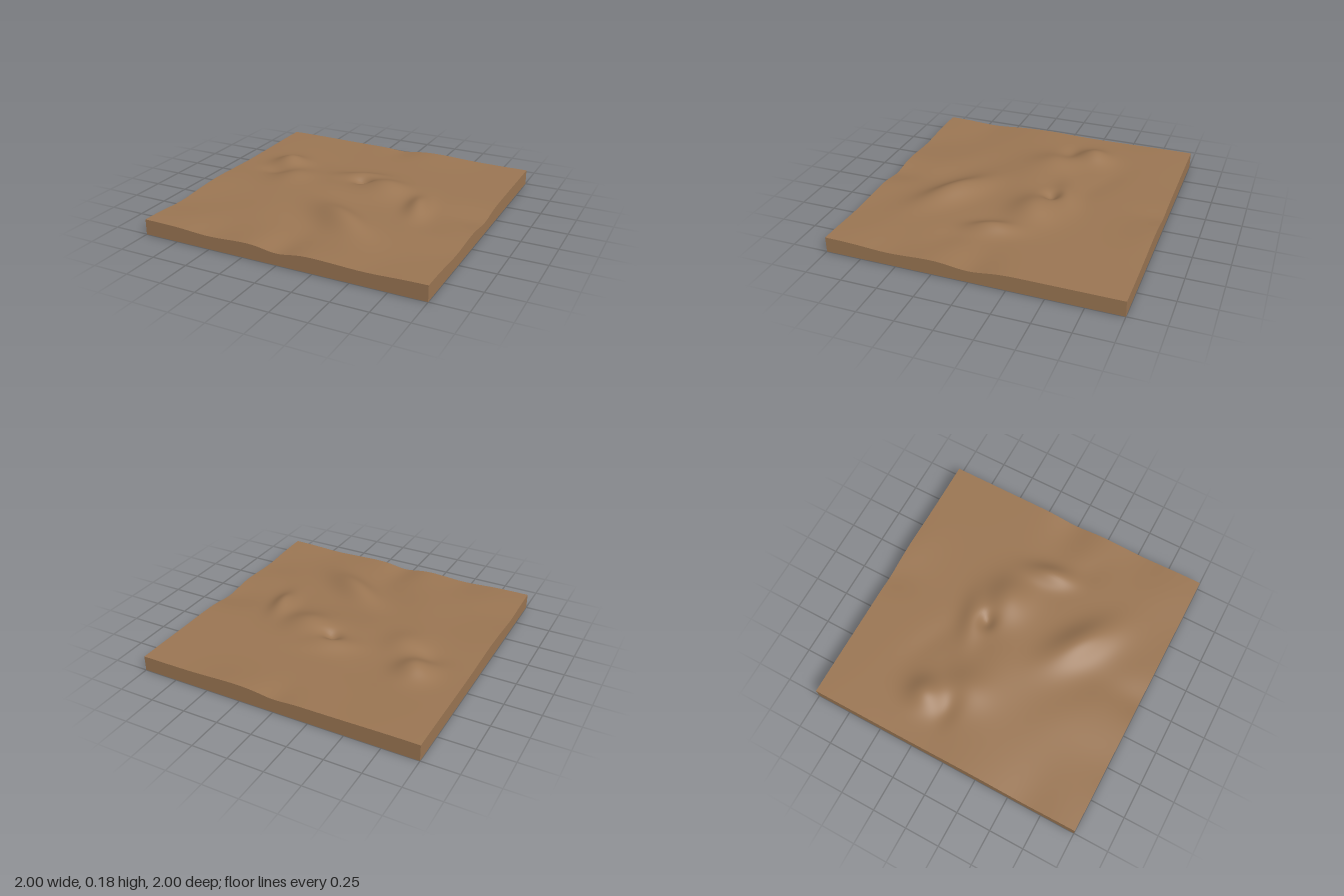
import * as THREE from 'three';

const N = 128; // grid cells per side

// Landforms: [x, z, length, width, turn, height]
const landforms = [
  [-0.66, -0.33, 0.085, 0.085, 0, 0.064],  // round knoll
  [-0.68, -0.14, 0.08, 0.05, 0, -0.018],   // hollow below the knoll
  [-0.49, -0.09, 0.1, 0.11, 0, 0.034],     // plateau edge
  [-0.24, 0.02, 0.24, 0.17, 0, 0.028],     // plateau
  [-0.03, -0.31, 0.13, 0.06, 0.3, 0.034],  // ridge behind the pit
  [0.01, -0.21, 0.045, 0.04, 0, -0.04],    // pit
  [0.22, -0.16, 0.13, 0.11, 0, 0.066],     // main dome
  [0.17, 0.45, 0.19, 0.085, -0.6, 0.07],   // diagonal crest
  [0.0, 0.62, 0.26, 0.1, -0.6, -0.014],    // valley beside the crest
  [0.54, 0.03, 0.12, 0.055, -1.35, 0.052], // narrow rise
  [0.66, 0.24, 0.15, 0.08, -0.5, -0.01],
  [-0.3, -0.48, 0.2, 0.07, -0.4, -0.008],
  [-0.35, 0.5, 0.2, 0.15, 0, 0.008],
  [0.0, 1.0, 0.09, 0.2, 0, -0.026],        // dips and swells along the rim
  [-0.5, 1.0, 0.14, 0.2, 0, -0.016],
  [0.6, 1.0, 0.16, 0.2, 0, -0.012],
  [1.0, 0.0, 0.2, 0.11, 0, -0.026],
  [1.0, 0.55, 0.2, 0.15, 0, -0.017],
  [0.28, -1.0, 0.17, 0.14, -0.2, 0.014],
  [0.0, -1.0, 0.08, 0.12, 0, -0.012],
  [-1.0, 0.15, 0.25, 0.18, 0, 0.01],
  [-1.0, 0.62, 0.25, 0.13, 0, -0.014],
  [-0.9, -0.9, 0.3, 0.3, 0, 0.008],
];

function heightAt(x, z) {
  let h = 0.108;
  for (const [cx, cz, length, width, turn, amount] of landforms) {
    const c = Math.cos(turn), s = Math.sin(turn);
    const u = ((x - cx) * c - (z - cz) * s) / length;
    const v = ((x - cx) * s + (z - cz) * c) / width;
    h += amount * Math.exp(-0.5 * (u * u + v * v));
  }
  return h;
}

// Vertical strip under the surface along a line from a to b
function strip(a, b, bottomOf) {
  const geometry = new THREE.PlaneGeometry(1, 1, N, 1);
  const pos = geometry.attributes.position;
  for (let i = 0; i < pos.count; i++) {
    const t = pos.getX(i) + 0.5;
    const x = a[0] + (b[0] - a[0]) * t;
    const z = a[1] + (b[1] - a[1]) * t;
    const top = heightAt(x, z);
    pos.setXYZ(i, x, pos.getY(i) > 0 ? top : bottomOf(top), z);
  }
  geometry.computeVertexNormals();
  return geometry;
}

export function createModel() {
  const group = new THREE.Group();
  group.name = 'terrainSlab';
  const earth = new THREE.MeshStandardMaterial({ color: 0x9b7653, side: THREE.DoubleSide });
  const add = (name, geometry) => {
    const mesh = new THREE.Mesh(geometry, earth);
    mesh.name = name;
    group.add(mesh);
  };

  // Rolling ground
  const ground = new THREE.PlaneGeometry(2, 2, N, N).rotateX(-Math.PI / 2);
  const pos = ground.attributes.position;
  for (let i = 0; i < pos.count; i++) pos.setY(i, heightAt(pos.getX(i), pos.getZ(i)));
  ground.computeVertexNormals();
  add('ground', ground);

  // Outer walls, open underneath
  const toFloor = () => 0;
  add('frontWall', strip([-1, 1], [1, 1], toFloor));
  add('rightWall', strip([1, 1], [1, -1], toFloor));
  add('backWall', strip([1, -1], [-1, -1], toFloor));
  add('leftWall', strip([-1, -1], [-1, 1], toFloor));

  // Shallow seams under the ground between the four by four tiles
  const shallow = (top) => top - 0.012;
  for (const p of [-0.5, 0, 0.5]) {
    add('lengthwiseSeam', strip([p, 1], [p, -1], shallow));
    add('crosswiseSeam', strip([-1, p], [1, p], shallow));
  }
  return group;
}
